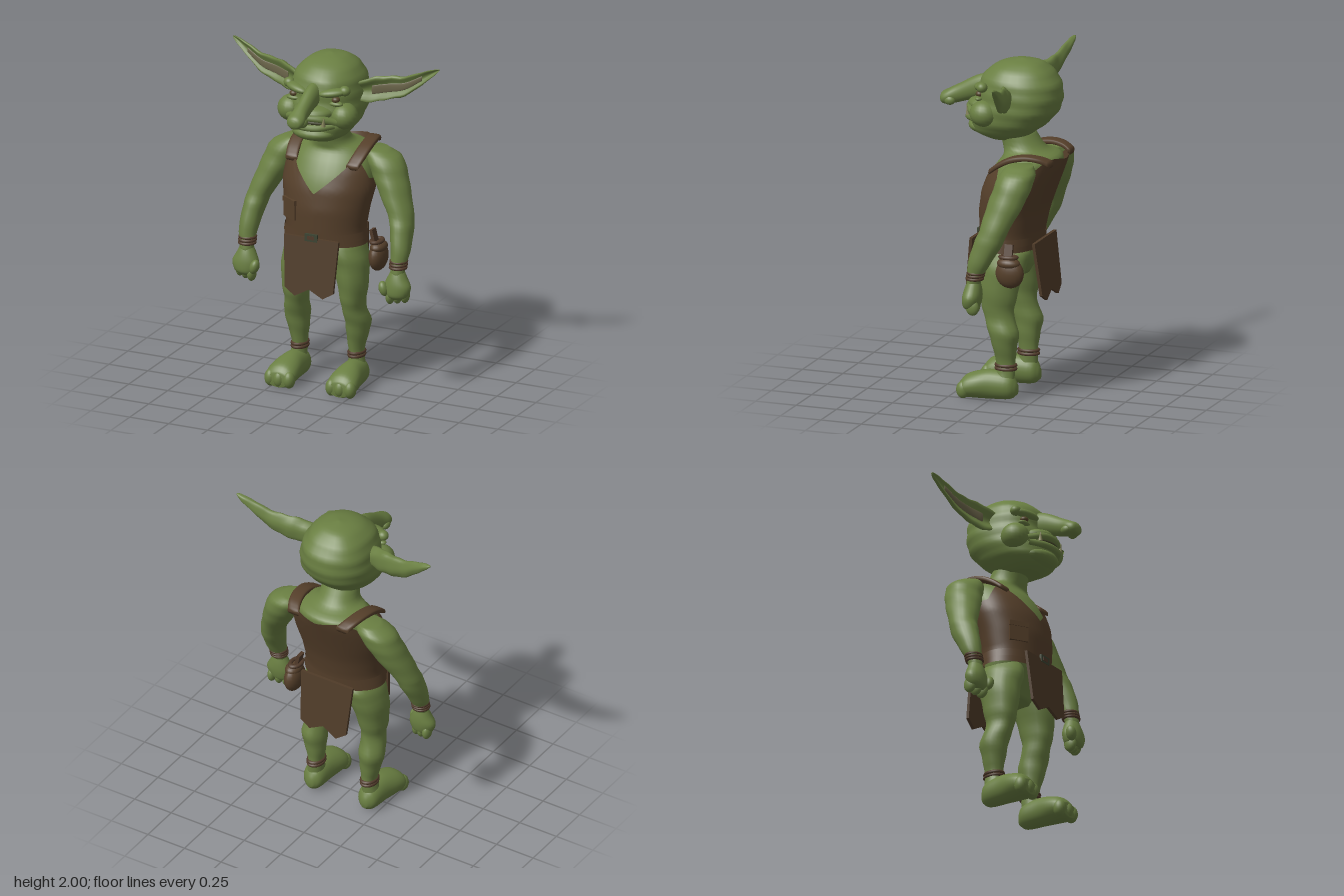
import * as THREE from 'three';

const mat = (name, color, side = THREE.FrontSide) => {
  const m = new THREE.MeshStandardMaterial({ color, side });
  m.name = name;
  return m;
};

// Unit axes of the cross-section for each loft direction.
const AXES = {
  x: [[0, 1, 0], [0, 0, 1]],
  y: [[0, 0, 1], [1, 0, 0]],
  z: [[1, 0, 0], [0, 1, 0]],
};

// Smooth closed body through rings [x, y, z, a, b]; a and b are the radii along the two section axes.
// lump adds soft muscle bumps, dent hollows one face, power below 1 makes the section boxier.
function loft(rings, axis, { seg = 24, sub = 4, lump = 0, dent = 0, power = 1 } = {}) {
  const k = 'xyz'.indexOf(axis);
  const r = [...rings].sort((p, q) => p[k] - q[k]);
  const mid = new THREE.CatmullRomCurve3(r.map(p => new THREE.Vector3(p[0], p[1], p[2])), false, 'catmullrom', 0.5);
  const rad = new THREE.CatmullRomCurve3(r.map(p => new THREE.Vector3(p[3], p[4], 0)), false, 'catmullrom', 0.5);
  const [U, V] = AXES[axis];
  const soft = c => Math.sign(c) * Math.abs(c) ** power;
  const n = (r.length - 1) * sub, pos = [], idx = [];
  for (let i = 0; i <= n; i++) {
    const c = mid.getPoint(i / n), s = rad.getPoint(i / n);
    for (let j = 0; j < seg; j++) {
      const t = j / seg * Math.PI * 2;
      const w = 1 + lump * Math.sin(3 * t + i * 0.9) * Math.cos(2 * t - i * 0.6);
      const sn = soft(Math.sin(t));
      const u = s.x * soft(Math.cos(t)) * w;
      const v = s.y * w * (sn > 0 ? sn * (1 - dent * sn * sn) : sn);
      pos.push(c.x + U[0] * u + V[0] * v, Math.max(0, c.y + U[1] * u + V[1] * v), c.z + U[2] * u + V[2] * v);
    }
  }
  for (let i = 0; i < n; i++) for (let j = 0; j < seg; j++) {
    const a = i * seg + j, b = i * seg + (j + 1) % seg;
    idx.push(a, b, a + seg, b, b + seg, a + seg);
  }
  const first = mid.getPoint(0), last = mid.getPoint(1), e = pos.length / 3;
  pos.push(first.x, first.y, first.z, last.x, last.y, last.z);
  for (let j = 0; j < seg; j++) {
    const j2 = (j + 1) % seg;
    idx.push(e, j2, j, e + 1, n * seg + j, n * seg + j2);
  }
  return build(pos, idx);
}

function build(pos, idx) {
  const g = new THREE.BufferGeometry();
  g.setAttribute('position', new THREE.Float32BufferAttribute(pos, 3));
  g.setIndex(idx);
  g.computeVertexNormals();
  return g;
}

const tube = (pts, r) => new THREE.TubeGeometry(
  new THREE.CatmullRomCurve3(pts.map(p => new THREE.Vector3(...p))), 24, r, 10);

// Piecewise linear lookup: table rows are [key, ...values].
function lookup(table, key) {
  let i = 0;
  while (i < table.length - 2 && key > table[i + 1][0]) i++;
  const p = table[i], q = table[i + 1];
  const f = THREE.MathUtils.clamp((key - p[0]) / (q[0] - p[0]), 0, 1);
  return p.slice(1).map((v, k) => v + (q[k + 1] - v) * f);
}

// Vest body: [y, centre z, half width, half depth]; neckline: [angle from the front, top height].
const VEST = [[0.88, -0.05, 0.256, 0.176], [0.97, -0.052, 0.243, 0.182], [1.1, -0.065, 0.262, 0.198],
  [1.22, -0.095, 0.285, 0.21], [1.33, -0.137, 0.28, 0.21], [1.43, -0.19, 0.25, 0.195], [1.5, -0.22, 0.22, 0.16]];
const NECKLINE = [[0, 1.2], [0.75, 1.385], [0.95, 1.385], [1.3, 1.28], [1.7, 1.28], [2.25, 1.43], [2.6, 1.45], [3.15, 1.425]];

function shell(bottom, topAt, grow, rows) {
  const seg = 64, pos = [], idx = [];
  for (let i = 0; i <= rows; i++) for (let j = 0; j < seg; j++) {
    const t = j / seg * Math.PI * 2;
    const y = bottom + (topAt(Math.min(t, Math.PI * 2 - t)) - bottom) * i / rows;
    const [cz, rx, rz] = lookup(VEST, y);
    pos.push(Math.sin(t) * (rx + grow), y, cz + Math.cos(t) * (rz + grow));
  }
  for (let i = 0; i < rows; i++) for (let j = 0; j < seg; j++) {
    const a = i * seg + j, b = i * seg + (j + 1) % seg;
    idx.push(a, b, a + seg, b, b + seg, a + seg);
  }
  return build(pos, idx);
}

export function createModel() {
  const model = new THREE.Group();
  const skin = mat('green skin', 0x6a7f42);
  const leather = mat('brown leather', 0x553f2a, THREE.DoubleSide);
  const cloth = mat('dark brown cloth', 0x4f3b28);
  const strap = mat('red brown straps', 0x503a2a);
  const inner = mat('inner ear', 0x6a6449);
  const mouth = mat('dark mouth', 0x424528);
  const tusk = mat('tusk', 0x85845a);
  const eyeMat = mat('eye', 0x54452a);
  const metal = mat('buckle metal', 0x3c4432);

  const add = (name, geo, m, p = [0, 0, 0], rot = [0, 0, 0]) => {
    const mesh = new THREE.Mesh(geo, m);
    mesh.name = name;
    mesh.position.set(...p);
    mesh.rotation.set(...rot);
    model.add(mesh);
    return mesh;
  };
  const blob = (name, m, p, s, rot) => add(name, new THREE.SphereGeometry(1, 20, 14), m, p, rot).scale.set(...s);
  const box = (name, s, m, p, rot) => add(name, new THREE.BoxGeometry(...s), m, p, rot);
  const ring = (name, m, p, rx, rz, r) =>
    add(name, new THREE.TorusGeometry(1, r / rx, 8, 24), m, p, [Math.PI / 2, 0, 0]).scale.set(rx, rz, rx);

  // Torso and neck
  add('torso', loft([[0, 0.72, -0.07, 0.08, 0.1], [0, 0.82, -0.07, 0.13, 0.2], [0, 0.92, -0.05, 0.155, 0.23],
    [0, 1.1, -0.063, 0.182, 0.242], [0, 1.25, -0.104, 0.194, 0.262], [0, 1.36, -0.15, 0.188, 0.25],
    [0, 1.43, -0.175, 0.165, 0.21], [0, 1.475, -0.128, 0.125, 0.125], [0, 1.58, -0.075, 0.102, 0.108]], 'y', { seg: 32 }), skin);

  // Head and face
  add('head', loft([[0, 1.52, -0.01, 0.1, 0.09], [0, 1.56, -0.005, 0.178, 0.155], [0, 1.62, -0.036, 0.225, 0.2],
    [0, 1.7, -0.085, 0.24, 0.22], [0, 1.78, -0.105, 0.243, 0.218], [0, 1.86, -0.106, 0.235, 0.205],
    [0, 1.93, -0.105, 0.188, 0.168], [0, 1.98, -0.115, 0.11, 0.1], [0, 2.0, -0.12, 0.01, 0.01]], 'y', { seg: 36, lump: 0.025, power: 0.87 }), skin);
  blob('chin', skin, [0, 1.59, 0.1], [0.14, 0.052, 0.11]);
  blob('muzzle', skin, [0, 1.715, 0.1], [0.125, 0.05, 0.115]);
  add('nose', loft([[0, 1.82, 0.08, 0.05, 0.075], [0, 1.8, 0.17, 0.045, 0.07], [0, 1.753, 0.28, 0.044, 0.056],
    [0, 1.727, 0.345, 0.054, 0.047], [0, 1.72, 0.38, 0.042, 0.034], [0, 1.718, 0.392, 0.012, 0.012]], 'z'), skin);
  add('upper lip', tube([[-0.15, 1.67, 0.13], [-0.07, 1.695, 0.185], [0, 1.698, 0.2], [0.07, 1.695, 0.185], [0.15, 1.67, 0.13]], 0.022), skin);
  add('mouth', tube([[-0.13, 1.662, 0.145], [-0.07, 1.668, 0.18], [0, 1.67, 0.195], [0.07, 1.668, 0.18], [0.13, 1.662, 0.145]], 0.013), mouth);
  add('lower lip', tube([[-0.14, 1.65, 0.135], [-0.07, 1.64, 0.192], [0, 1.638, 0.206], [0.07, 1.64, 0.192], [0.14, 1.65, 0.135]], 0.02), skin);

  // Front and back hanging cloth
  for (const front of [true, false]) {
    const outline = [[-0.175, 0.94], [-0.155, 0.63], [-0.09, 0.585], [0, 0.635], [0.09, 0.59], [0.155, 0.63], [0.175, 0.94]];
    const geo = new THREE.ExtrudeGeometry(new THREE.Shape(outline.map(p => new THREE.Vector2(...p))), { depth: 0.018, bevelEnabled: false });
    const p = geo.attributes.position;
    for (let i = 0; i < p.count; i++) {
      const drop = 0.94 - p.getY(i);
      p.setZ(i, p.getZ(i) + (front ? 0.131 + drop * 0.1 : -0.255 - drop * 0.13));
    }
    geo.computeVertexNormals();
    add(front ? 'front loincloth' : 'back loincloth', geo, cloth);
  }

  // Vest, belt, buckle and pocket
  add('vest', shell(0.885, t => lookup(NECKLINE, t)[0], 0, 14), leather);
  add('belt', shell(0.92, () => 0.965, 0.006, 2), leather);
  box('buckle', [0.08, 0.045, 0.014], metal, [0, 0.943, 0.147]);
  box('buckle centre', [0.045, 0.022, 0.008], strap, [0, 0.943, 0.152]);
  box('pocket', [0.115, 0.11, 0.024], leather, [-0.165, 1.075, 0.08], [0, -0.55, 0]);
  box('pocket flap', [0.12, 0.03, 0.028], leather, [-0.166, 1.125, 0.082], [0, -0.55, 0]);

  // Belt pouch
  blob('pouch', leather, [0.29, 0.785, -0.145], [0.05, 0.088, 0.086]);
  blob('pouch flap', leather, [0.295, 0.845, -0.14], [0.047, 0.035, 0.07]);
  ring('pouch cord', strap, [0.285, 0.88, -0.135], 0.03, 0.045, 0.012);
  box('pouch loop', [0.02, 0.08, 0.05], strap, [0.268, 0.91, -0.13], [0, 0, 0.25]);

  for (const s of [1, -1]) {
    const side = s > 0 ? 'left ' : 'right ';
    const flip = rings => rings.map(([x, ...rest]) => [x * s, ...rest]);

    // Ear with sunken inner face
    const ear = [[0.17, 1.8, -0.06, 0.05, 0.05], [0.27, 1.815, -0.1, 0.075, 0.045], [0.36, 1.832, -0.128, 0.072, 0.036],
      [0.46, 1.853, -0.142, 0.06, 0.03], [0.56, 1.91, -0.162, 0.04, 0.025], [0.63, 1.952, -0.175, 0.02, 0.02], [0.662, 1.97, -0.18, 0.005, 0.008]];
    add(side + 'ear', loft(flip(ear), 'x', { dent: 1.3, lump: 0.08 }), skin);
    add(side + 'inner ear', loft(flip(ear.slice(1, 5).map(([x, y, z, a]) => [x, y, z, a * 0.36, 0.004])), 'x'), inner);

    // Eye, brow, cheek, nostril and tusk
    blob(side + 'eye', eyeMat, [s * 0.135, 1.798, 0.1], [0.025, 0.019, 0.024]);
    blob(side + 'eye bag', skin, [s * 0.135, 1.773, 0.1], [0.045, 0.016, 0.026]);
    blob(side + 'brow', skin, [s * 0.115, 1.836, 0.098], [0.085, 0.026, 0.042], [0, s * 0.4, s * 0.12]);
    blob(side + 'brow bump', skin, [s * 0.178, 1.848, 0.07], [0.034, 0.03, 0.032]);
    blob(side + 'cheek', skin, [s * 0.17, 1.692, 0.06], [0.08, 0.078, 0.085]);
    blob(side + 'nostril', skin, [s * 0.036, 1.712, 0.325], [0.024, 0.028, 0.034]);
    add(side + 'tusk', new THREE.ConeGeometry(0.014, 0.06, 10), tusk, [s * 0.1, 1.685, 0.19], [0.1, 0, -s * 0.12]);

    // Arm and hand
    add(side + 'arm', loft(flip([[0.485, 0.75, 0.005, 0.04, 0.04], [0.485, 0.8, -0.005, 0.045, 0.045], [0.487, 0.88, -0.03, 0.066, 0.056],
      [0.472, 1.0, -0.08, 0.086, 0.066], [0.45, 1.08, -0.11, 0.086, 0.074], [0.393, 1.2, -0.15, 0.104, 0.092],
      [0.345, 1.3, -0.18, 0.11, 0.105], [0.3, 1.38, -0.195, 0.105, 0.11], [0.25, 1.43, -0.2, 0.07, 0.07]]), 'y', { lump: 0.03 }), skin);
    add(side + 'palm', loft(flip([[0.485, 0.78, 0, 0.035, 0.035], [0.485, 0.73, 0.005, 0.05, 0.06], [0.488, 0.68, 0.01, 0.056, 0.082],
      [0.485, 0.63, 0.015, 0.05, 0.07], [0.482, 0.605, 0.015, 0.03, 0.045]]), 'y'), skin);
    for (let i = 0; i < 3; i++)
      blob(side + 'finger', skin, [s * (0.445 + i * 0.042), 0.615 + i * 0.006, 0.018 - i * 0.012], [0.025, 0.048, 0.04]);
    blob(side + 'thumb', skin, [s * 0.415, 0.665, 0.045], [0.028, 0.045, 0.032], [0, 0, s * 0.3]);
    for (let i = 0; i < 3; i++) ring(side + 'wrist band', strap, [s * 0.485, 0.792 + i * 0.017, -0.004 - i * 0.004], 0.046, 0.046, 0.009);

    // Leg, foot and toes
    add(side + 'leg', loft(flip([[0.19, 0.1, -0.07, 0.065, 0.055], [0.182, 0.2, -0.08, 0.056, 0.043], [0.188, 0.3, -0.075, 0.07, 0.06],
      [0.195, 0.4, -0.07, 0.09, 0.074], [0.183, 0.5, -0.038, 0.09, 0.066], [0.182, 0.6, -0.035, 0.108, 0.08],
      [0.165, 0.75, -0.05, 0.132, 0.1], [0.13, 0.86, -0.06, 0.145, 0.105], [0.11, 0.93, -0.06, 0.1, 0.08]]), 'y', { lump: 0.04 }), skin);
    add(side + 'foot', loft(flip([[0.185, 0.065, -0.152, 0.02, 0.03], [0.187, 0.08, -0.11, 0.062, 0.075], [0.19, 0.085, 0, 0.074, 0.087],
      [0.194, 0.077, 0.09, 0.09, 0.08], [0.196, 0.064, 0.155, 0.09, 0.068], [0.196, 0.05, 0.19, 0.065, 0.042]]), 'z'), skin);
    for (let i = 0; i < 3; i++)
      blob(side + 'toe', skin, [s * (0.137 + i * 0.059), 0.052, 0.158 + (i === 1 ? 0.006 : 0)], [0.036, 0.052, 0.04]);
    for (let i = 0; i < 2; i++) ring(side + 'ankle band', strap, [s * 0.182, 0.185 + i * 0.02, -0.08], 0.042, 0.056, 0.01);

    // Shoulder strap of the vest
    add(side + 'shoulder strap', loft(flip([[0.195, 1.36, 0.01, 0.038, 0.016], [0.208, 1.405, -0.05, 0.04, 0.018], [0.214, 1.445, -0.13, 0.04, 0.018],
      [0.208, 1.462, -0.22, 0.04, 0.016], [0.19, 1.452, -0.3, 0.04, 0.016], [0.165, 1.425, -0.354, 0.04, 0.018]]), 'z', { power: 0.6 }), leather);
  }
  return model;
}
